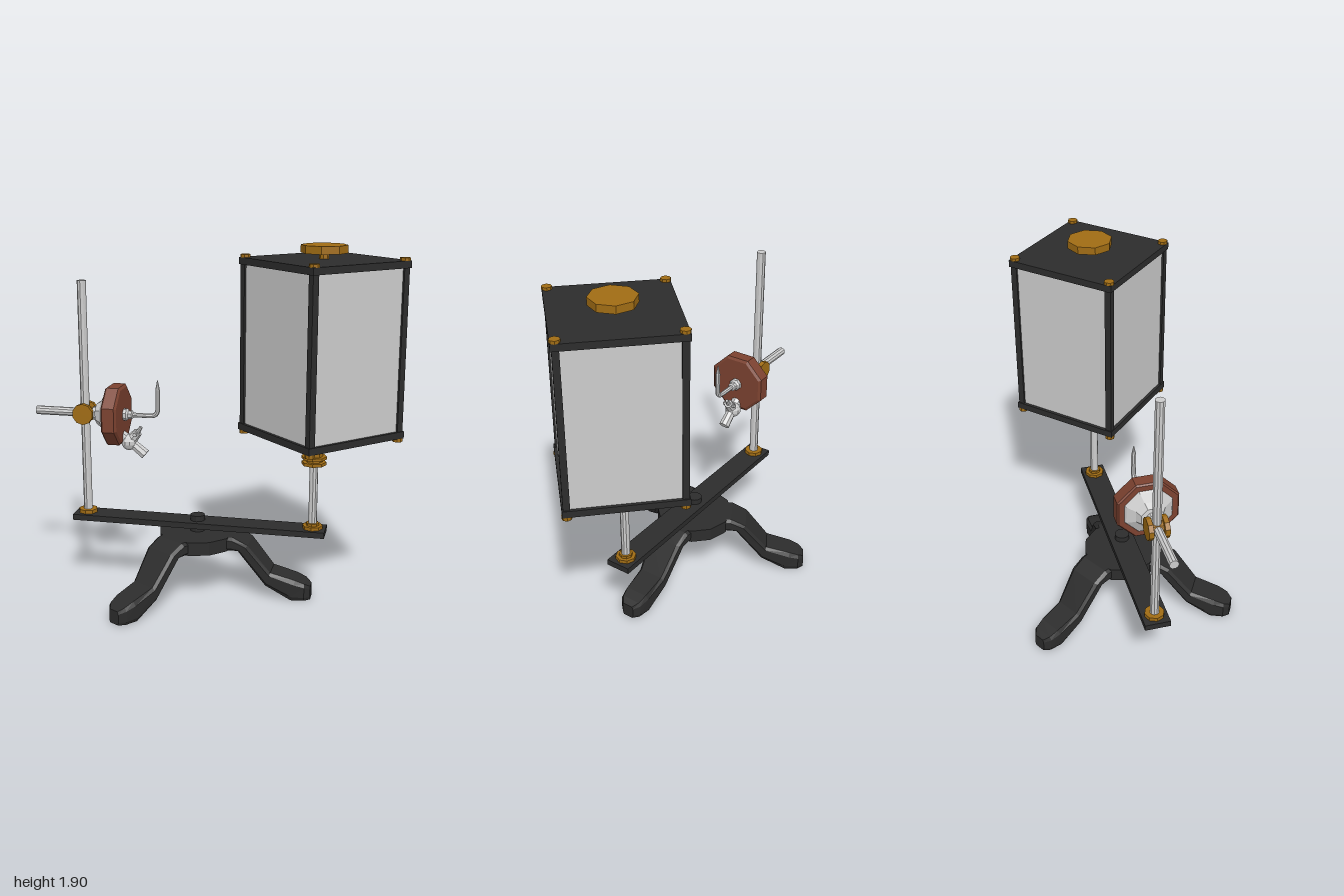
import * as THREE from 'three';

const mat = (color) => new THREE.MeshStandardMaterial({ color, flatShading: true });

export function createModel() {
  const model = new THREE.Group();
  const steel = mat(0xcccccc), pane = mat(0xcccccc), brass = mat(0xa06c14);
  const black = mat(0x2c2c2c), wood = mat(0x7c4230);

  const add = (name, geometry, material, parent = model) => {
    const mesh = new THREE.Mesh(geometry, material);
    mesh.name = name;
    parent.add(mesh);
    return mesh;
  };
  // upright cylinder between two heights
  const upright = (name, x, z, y0, y1, r, sides, material, parent = model, rTop = r) => {
    const m = add(name, new THREE.CylinderGeometry(rTop, r, y1 - y0, sides), material, parent);
    m.position.set(x, (y0 + y1) / 2, z);
    return m;
  };
  // cylinder between two points
  const rod = (name, from, to, r0, r1, sides, material, parent = model) => {
    const a = new THREE.Vector3(...from), b = new THREE.Vector3(...to);
    const dir = b.clone().sub(a);
    const m = add(name, new THREE.CylinderGeometry(r1, r0, dir.length(), sides), material, parent);
    m.position.copy(a).add(b).multiplyScalar(0.5);
    m.quaternion.setFromUnitVectors(new THREE.Vector3(0, 1, 0), dir.normalize());
    return m;
  };

  // ---- tripod: hub and three curved legs
  const tripod = new THREE.Group();
  tripod.name = 'tripod';
  tripod.position.x = -0.095;
  model.add(tripod);
  upright('hub', 0, 0, 0.268, 0.341, 0.21, 12, black, tripod);
  const leg = legGeometry();
  for (let i = 0; i < 3; i++) {
    add('leg', leg, black, tripod).rotation.y = (i * Math.PI * 2) / 3;
  }
  upright('pivotScrew', 0, 0, 0.33, 0.43, 0.04, 12, black, tripod);

  // ---- cross bar
  add('crossBar', new THREE.BoxGeometry(1.395, 0.032, 0.136), black).position.set(-0.0925, 0.384, 0);

  // ---- lantern support
  const px = 0.535;
  upright('lanternPostNut', px, 0, 0.4, 0.418, 0.054, 8, brass);
  upright('lanternPostCollar', px, 0, 0.418, 0.432, 0.035, 8, brass);
  upright('lanternPost', px, 0, 0.4, 0.8, 0.023, 10, steel);
  const socket = [[0, 0.755], [0.065, 0.755], [0.065, 0.772], [0.045, 0.772], [0.045, 0.787], [0.067, 0.787],
    [0.067, 0.802], [0.045, 0.802], [0.045, 0.895], [0.06, 0.91], [0.06, 0.925], [0, 0.925]];
  add('lanternSocket', new THREE.LatheGeometry(socket.map((p) => new THREE.Vector2(...p)), 8), brass).position.x = px;
  upright('lanternFlange', 0.555, 0, 0.904, 0.926, 0.085, 8, brass, model, 0.095);

  // ---- lantern: square housing turned corner to the front
  const lantern = new THREE.Group();
  lantern.name = 'lantern';
  lantern.position.x = 0.56;
  lantern.rotation.y = Math.PI / 4;
  model.add(lantern);
  const side = 0.612, c = 0.283;
  for (const [name, y] of [['lanternFloor', 0.943], ['lanternRoof', 1.812]]) {
    add(name, new THREE.BoxGeometry(side, 0.036, side), black, lantern).position.y = y;
  }
  for (let i = 0; i < 4; i++) {
    const corner = new THREE.Group();
    corner.name = 'lanternSide';
    corner.rotation.y = (i * Math.PI) / 2;
    lantern.add(corner);
    add('cornerPost', new THREE.BoxGeometry(0.034, 0.84, 0.034), black, corner).position.set(c, 1.377, c);
    upright('cornerStud', c, c, 0.907, 0.926, 0.026, 8, brass, corner);
    upright('cornerStud', c, c, 1.829, 1.845, 0.026, 8, brass, corner);
    add('pane', new THREE.BoxGeometry(2 * c, 0.84, 0.012), pane, corner).position.set(0, 1.377, c);
  }
  upright('knobStem', 0.56, 0, 1.825, 1.865, 0.025, 8, brass);
  upright('roofKnob', 0.56, 0, 1.86, 1.9, 0.119, 8, brass);

  // ---- stand rod with clamp and horizontal arm
  const sx = -0.722, ay = 0.97;
  upright('standNut', sx, 0, 0.4, 0.42, 0.052, 8, brass);
  upright('standRod', sx, 0, 0.4, 1.69, 0.024, 10, steel);
  rod('arm', [-1, ay, 0], [-0.62, ay, 0], 0.024, 0.024, 10, steel);
  rod('clampCore', [sx, ay, -0.04], [sx, ay, 0.04], 0.036, 0.036, 8, brass);
  for (const s of [-1, 1]) {
    rod('clampDisc', [sx, ay, s * 0.028], [sx, ay, s * 0.053], 0.058, 0.058, 10, brass);
  }

  // ---- burner head: profiles turned about the arm axis
  const turned = (name, pts, material) => {
    const geo = new THREE.LatheGeometry(pts.map(([x, r]) => new THREE.Vector2(r, x)), 8, Math.PI / 8);
    const m = add(name, geo, material);
    m.rotation.z = -Math.PI / 2;
    m.position.y = ay;
  };
  turned('headCone', [[-0.675, 0], [-0.675, 0.036], [-0.655, 0.04], [-0.65, 0.06], [-0.62, 0.08],
    [-0.595, 0.125], [-0.58, 0.135], [-0.58, 0]], steel);
  turned('headDisc', [[-0.585, 0], [-0.585, 0.162], [-0.577, 0.17], [-0.512, 0.17], [-0.502, 0.155], [-0.502, 0]], wood);
  turned('nozzleBase', [[-0.51, 0], [-0.51, 0.034], [-0.485, 0.034], [-0.475, 0.024], [-0.455, 0.024],
    [-0.45, 0.015], [-0.45, 0]], steel);

  // bent nozzle with pointed tip
  const path = new THREE.CurvePath();
  const v = (x, y) => new THREE.Vector3(x, y, 0);
  path.add(new THREE.LineCurve3(v(-0.46, ay), v(-0.355, ay)));
  path.add(new THREE.QuadraticBezierCurve3(v(-0.355, ay), v(-0.312, ay), v(-0.312, 1.013)));
  path.add(new THREE.LineCurve3(v(-0.312, 1.013), v(-0.312, 1.115)));
  add('nozzle', new THREE.TubeGeometry(path, 24, 0.013, 8), steel);
  upright('nozzleTip', -0.312, 0, 1.115, 1.167, 0.013, 8, steel, model, 0.002);

  // small tap under the nozzle
  const tap = new THREE.Group();
  tap.name = 'tap';
  model.add(tap);
  add('tapBall', new THREE.SphereGeometry(0.045, 10, 7), steel, tap).position.set(-0.475, 0.818, 0);
  rod('tapNeck', [-0.52, 0.855, 0], [-0.475, 0.818, 0], 0.032, 0.032, 8, steel, tap);
  rod('tapSpout', [-0.475, 0.825, 0], [-0.385, 0.752, 0], 0.026, 0.03, 8, steel, tap);
  rod('tapStem', [-0.475, 0.818, 0], [-0.425, 0.876, 0], 0.034, 0.024, 8, steel, tap);
  rod('tapHandle', [-0.43, 0.87, 0], [-0.407, 0.905, 0], 0.013, 0.009, 8, steel, tap);
  rod('tapLever', [-0.435, 0.866, -0.036], [-0.435, 0.866, 0.036], 0.011, 0.011, 8, steel, tap);

  return model;
}

// leg from chamfered sections: top r, top y, bottom r, bottom y, half width
function legGeometry() {
  const sections = [
    [0.05, 0.341, 0.05, 0.268, 0.11], [0.213, 0.341, 0.2, 0.268, 0.1], [0.293, 0.3, 0.24, 0.267, 0.097],
    [0.416, 0.15, 0.39, 0.075, 0.08], [0.55, 0.115, 0.528, 0, 0.075], [0.6, 0.095, 0.6, 0, 0.064],
    [0.63, 0.075, 0.63, 0, 0.034],
  ];
  // across (z) and height fractions around one section
  const loop = [[-0.82, 1], [0.82, 1], [1, 0.8], [1, 0.2], [0.85, 0], [-0.85, 0], [-1, 0.2], [-1, 0.8]];
  const n = loop.length, pos = [], idx = [];
  for (const [rt, yt, rb, yb, w] of sections) {
    for (const [u, t] of loop) pos.push(rb + (rt - rb) * t, yb + (yt - yb) * t, u * w);
  }
  for (let i = 0; i < sections.length - 1; i++) {
    for (let j = 0; j < n; j++) {
      const a = i * n + j, b = i * n + ((j + 1) % n);
      idx.push(a, b, a + n, b, b + n, a + n);
    }
  }
  const e = (sections.length - 1) * n;
  for (let j = 1; j < n - 1; j++) {
    idx.push(e, e + j, e + j + 1, 0, j + 1, j);
  }
  const geo = new THREE.BufferGeometry();
  geo.setAttribute('position', new THREE.Float32BufferAttribute(pos, 3));
  geo.setIndex(idx);
  geo.computeVertexNormals();
  return geo;
}
